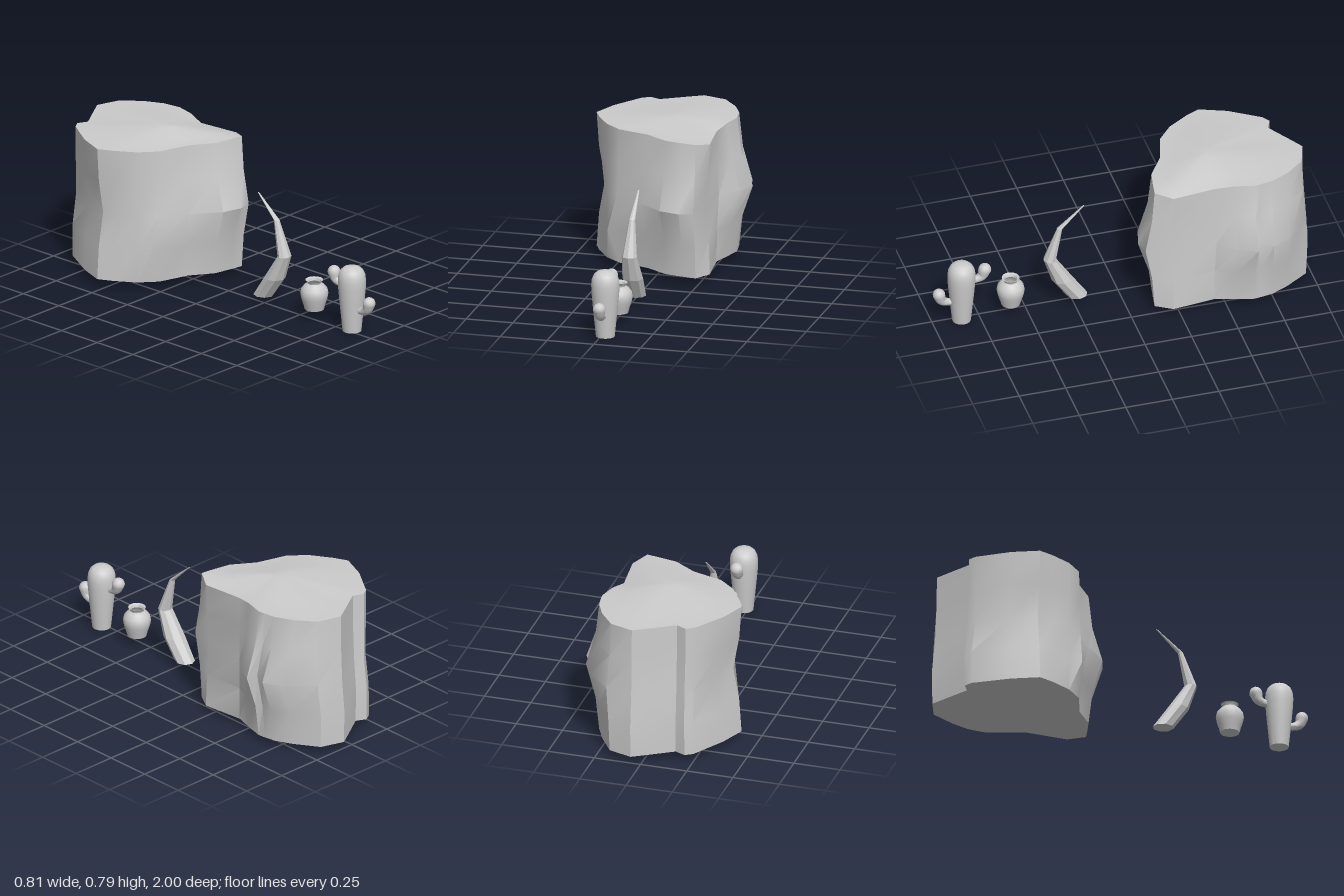
import * as THREE from 'three';
import { toCreasedNormals } from 'three/addons/utils/BufferGeometryUtils.js';

const V = (x, y, z) => new THREE.Vector3(x, y, z);
const grey = (extra = {}) => new THREE.MeshStandardMaterial({ color: 0xcccccc, ...extra });

function addMesh(parent, name, geometry, material = grey()) {
  const mesh = new THREE.Mesh(geometry, material);
  mesh.name = name;
  parent.add(mesh);
  return mesh;
}

// Skin a stack of equal-sized rings and close both ends with a fan
function loft(rings, crease) {
  const pos = [];
  const tri = (...pts) => pts.forEach((p) => pos.push(p.x, p.y, p.z));
  const n = rings[0].length;
  const middle = (ring) => ring.reduce((s, p) => s.add(p), V(0, 0, 0)).divideScalar(n);
  const first = rings[0], last = rings[rings.length - 1];
  const c0 = middle(first), c1 = middle(last);
  for (let j = 0; j < n; j++) {
    const k = (j + 1) % n;
    for (let i = 0; i < rings.length - 1; i++) {
      const lo = rings[i], hi = rings[i + 1];
      tri(lo[j], lo[k], hi[k]);
      tri(lo[j], hi[k], hi[j]);
    }
    tri(c0, first[k], first[j]);
    tri(c1, last[j], last[k]);
  }
  const geo = new THREE.BufferGeometry();
  geo.setAttribute('position', new THREE.Float32BufferAttribute(pos, 3));
  geo.computeVertexNormals();
  return toCreasedNormals(geo, crease);
}

// Ring centred in the x = 0.02 plane; (dz, dy) is the direction it faces
function ring(z, y, rx, rz, sides, dz = 0, dy = 1) {
  return Array.from({ length: sides }, (_, j) => {
    const t = (j / sides) * Math.PI * 2;
    const u = rz * Math.cos(t);
    return V(0.02 + rx * Math.sin(t), y - u * dz, z + u * dy);
  });
}

// Rock columns: rim x, rim z, mid-height x, mid-height z
const ROCK = [
  [0.07, -0.16, 0.055, -0.09], [0.165, -0.14, 0.165, -0.06],
  [0.237, -0.128, 0.237, -0.08], [0.29, -0.215, 0.268, -0.22],
  [0.265, -0.44, 0.275, -0.45], [0.295, -0.54, 0.365, -0.545],
  [0.32, -0.64, 0.405, -0.64], [0.315, -0.68, 0.345, -0.655],
  [0.305, -0.74, 0.38, -0.73], [0.26, -0.835, 0.33, -0.835],
  [0.18, -0.935, 0.2, -0.955], [0.055, -0.975, 0.055, -0.985],
  [-0.02, -0.93, -0.02, -0.935], [-0.15, -0.85, -0.15, -0.86],
  [-0.205, -0.875, -0.2, -0.88], [-0.245, -0.85, -0.24, -0.85],
  [-0.35, -0.69, -0.31, -0.69], [-0.405, -0.55, -0.36, -0.55],
  [-0.37, -0.475, -0.34, -0.46], [-0.3, -0.365, -0.3, -0.36],
  [-0.213, -0.29, -0.23, -0.285], [-0.05, -0.24, -0.09, -0.205],
];

function rockGeometry() {
  // height and share of the mid-height outline
  const levels = [[0.035, 0], [0.215, 0.28], [0.395, 1], [0.575, 0.28], [0.755, 0]];
  const rings = levels.map(([y, w], level) => ROCK.map(([tx, tz, mx, mz], j) => {
    let x = THREE.MathUtils.lerp(tx, mx, w);
    let z = THREE.MathUtils.lerp(tz, mz, w);
    if (level < 2 && tz < -0.84) z *= 1.025; // back foot spreads
    if (level === 1 && j === 20) x = -0.275; // low swelling on the front edge
    const dip = level === 4 && (j === 3 || j === 4) ? 0.018 : 0;
    return V(x, y - dip, z);
  }));
  // gently domed top
  const rim = rings[rings.length - 1];
  for (const [s, y] of [[0.66, 0.76], [0.16, 0.79]]) {
    rings.push(rim.map((p) => V(0.01 + (p.x - 0.01) * s, y, -0.46 + (p.z + 0.46) * s)));
  }
  return loft(rings, 0.55);
}

// Curved arm that swells to a rounded tip; path entries are z, y, radius
function armGeometry(path) {
  const curve = new THREE.CatmullRomCurve3(path.map(([z, y]) => V(0, y, z)));
  const rings = [];
  const steps = 12;
  for (let i = 0; i <= steps; i++) {
    const t = i / steps;
    const p = curve.getPoint(t), d = curve.getTangent(t);
    const f = t * (path.length - 1), k = Math.min(Math.floor(f), path.length - 2);
    const r = THREE.MathUtils.lerp(path[k][2], path[k + 1][2], f - k);
    rings.push(ring(p.z, p.y, r, r, 16, d.z, d.y));
  }
  const [, , r] = path[path.length - 1];
  const end = curve.getPoint(1), dir = curve.getTangent(1);
  for (const a of [0.4, 0.8, 1.15, 1.45]) {
    const c = end.clone().addScaledVector(dir, r * Math.sin(a));
    rings.push(ring(c.z, c.y, r * Math.cos(a), r * Math.cos(a), 16, dir.z, dir.y));
  }
  return loft(rings, 1.1);
}

function lathe(points, segments) {
  return new THREE.LatheGeometry(points.map(([r, y]) => new THREE.Vector2(r, y)), segments);
}

export function createModel() {
  const model = new THREE.Group();
  model.name = 'desertSet';

  addMesh(model, 'rock', rockGeometry());

  // Bent, faceted spike: z, y, half width, half depth
  const spike = [
    [0.225, 0.035, 0.05, 0.055], [0.305, 0.15, 0.056, 0.056], [0.372, 0.285, 0.04, 0.033],
    [0.318, 0.47, 0.016, 0.014], [0.19, 0.59, 0.004, 0.003],
  ];
  addMesh(model, 'spike', loft(spike.map((s) => ring(...s, 8)), 0),
    grey({ flatShading: true }));

  // Pot with open mouth
  const pot = addMesh(model, 'pot', toCreasedNormals(lathe([
    [0, 0.05], [0.05, 0.05], [0.058, 0.08], [0.068, 0.11], [0.073, 0.138], [0.068, 0.162],
    [0.052, 0.182], [0.036, 0.193], [0.037, 0.2], [0.046, 0.211], [0.034, 0.205],
    [0.03, 0.193], [0.055, 0.165], [0.06, 0.13], [0.045, 0.065], [0, 0.06],
  ], 24).toNonIndexed(), 0.7), grey({ side: THREE.DoubleSide }));
  pot.position.set(0.02, 0, 0.582);

  // Cactus: trunk with two arms
  const cactus = new THREE.Group();
  cactus.name = 'cactus';
  model.add(cactus);
  const trunk = addMesh(cactus, 'trunk', toCreasedNormals(lathe([
    [0, 0], [0.049, 0], [0.056, 0.07], [0.065, 0.16], [0.072, 0.24], [0.073, 0.28],
    [0.07, 0.308], [0.06, 0.332], [0.044, 0.347], [0.024, 0.354], [0, 0.356],
  ], 28).toNonIndexed(), 0.9));
  trunk.position.set(0.02, 0, 0.846);
  addMesh(cactus, 'frontArm', armGeometry([
    [0.88, 0.125, 0.018], [0.925, 0.127, 0.021], [0.955, 0.145, 0.026], [0.967, 0.18, 0.033],
  ]));
  addMesh(cactus, 'backArm', armGeometry([
    [0.8, 0.24, 0.018], [0.765, 0.241, 0.02], [0.735, 0.257, 0.026], [0.721, 0.292, 0.034],
  ]));

  return model;
}
